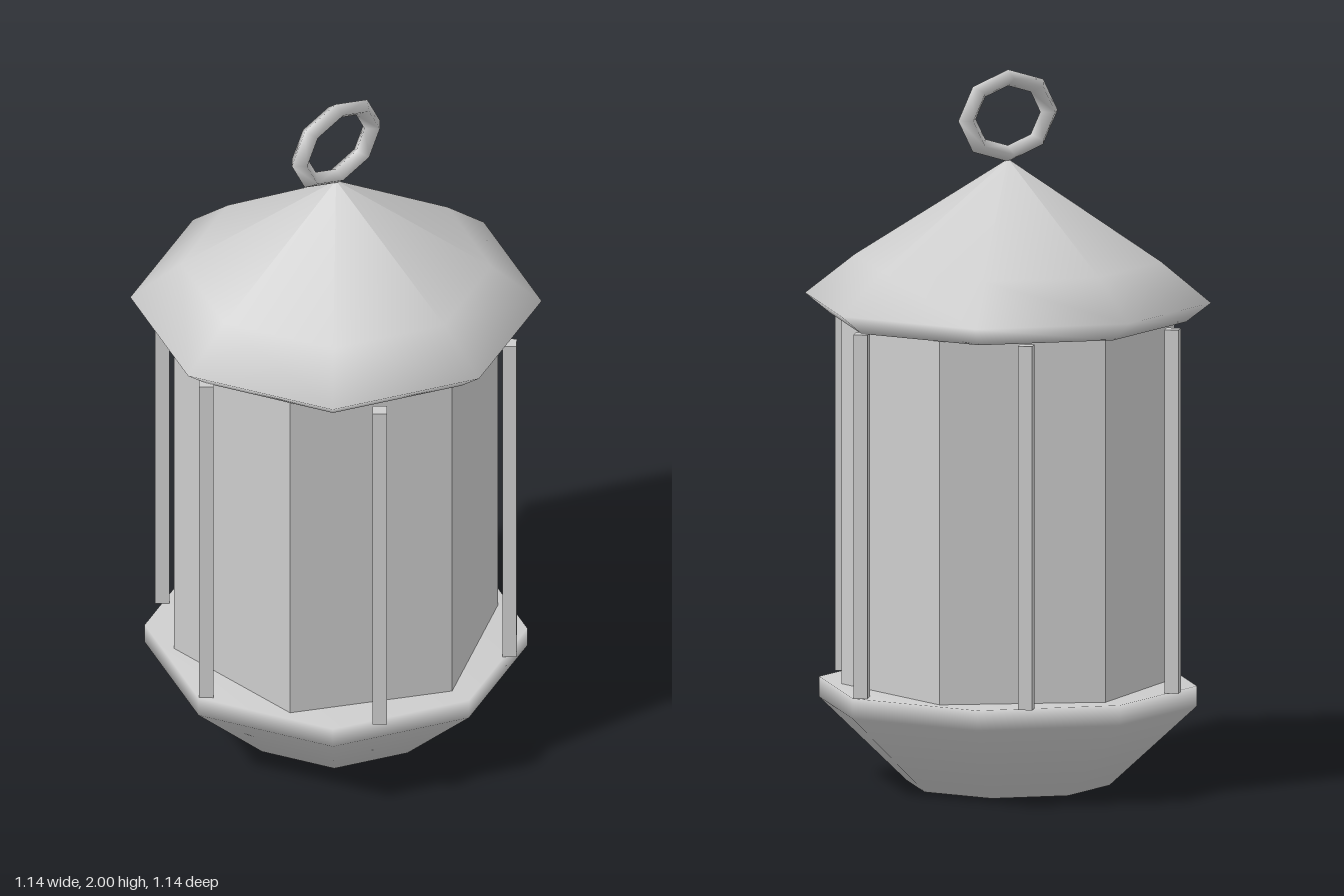
import * as THREE from 'three';

export function createModel() {
  const lantern = new THREE.Group();
  lantern.name = 'lantern';
  const grey = new THREE.MeshStandardMaterial({ color: 0xcccccc });
  grey.name = 'pale grey metal';

  const add = (name, geometry, x = 0, y = 0, z = 0) => {
    const mesh = new THREE.Mesh(geometry, grey);
    mesh.name = name;
    mesh.position.set(x, y, z);
    lantern.add(mesh);
    return mesh;
  };
  // Smooth-shaded eight-sided turned solid; profile runs from bottom to top
  const turned = (profile) =>
    new THREE.LatheGeometry(profile.map(([r, y]) => new THREE.Vector2(r, y)), 8);
  // Hard-edged upright prism
  const prism = (radius, height, sides) => {
    const g = new THREE.CylinderGeometry(radius, radius, height, sides).toNonIndexed();
    g.computeVertexNormals();
    return g;
  };

  const floorY = 0.285, ceilingY = 1.305;
  const height = ceilingY - floorY, midY = (floorY + ceilingY) / 2;

  // Tapered base bowl with an upright rim
  add('base', turned([[0, 0], [0.285, 0], [0.53, 0.228], [0.53, floorY], [0, floorY]]));

  // Six-sided lamp body
  add('lampBody', prism(0.463, height, 6), 0, midY, 0);

  // Six thin bars around the body
  for (let i = 0; i < 6; i++) {
    const a = (i * Math.PI) / 3;
    add('bar', prism(0.028, height, 4), 0.5 * Math.cos(a), midY, 0.5 * Math.sin(a));
  }

  // Roof with an undercut eave
  add('roof', turned([[0, ceilingY], [0.5, ceilingY], [0.57, 1.36], [0.43, 1.472], [0, 1.75]]));

  // Flattened hanging ring
  const ring = add('hangingRing', new THREE.TorusGeometry(0.14, 0.03, 4, 8), 0, 1.871, 0);
  ring.scale.y = 0.76;

  return lantern;
}
